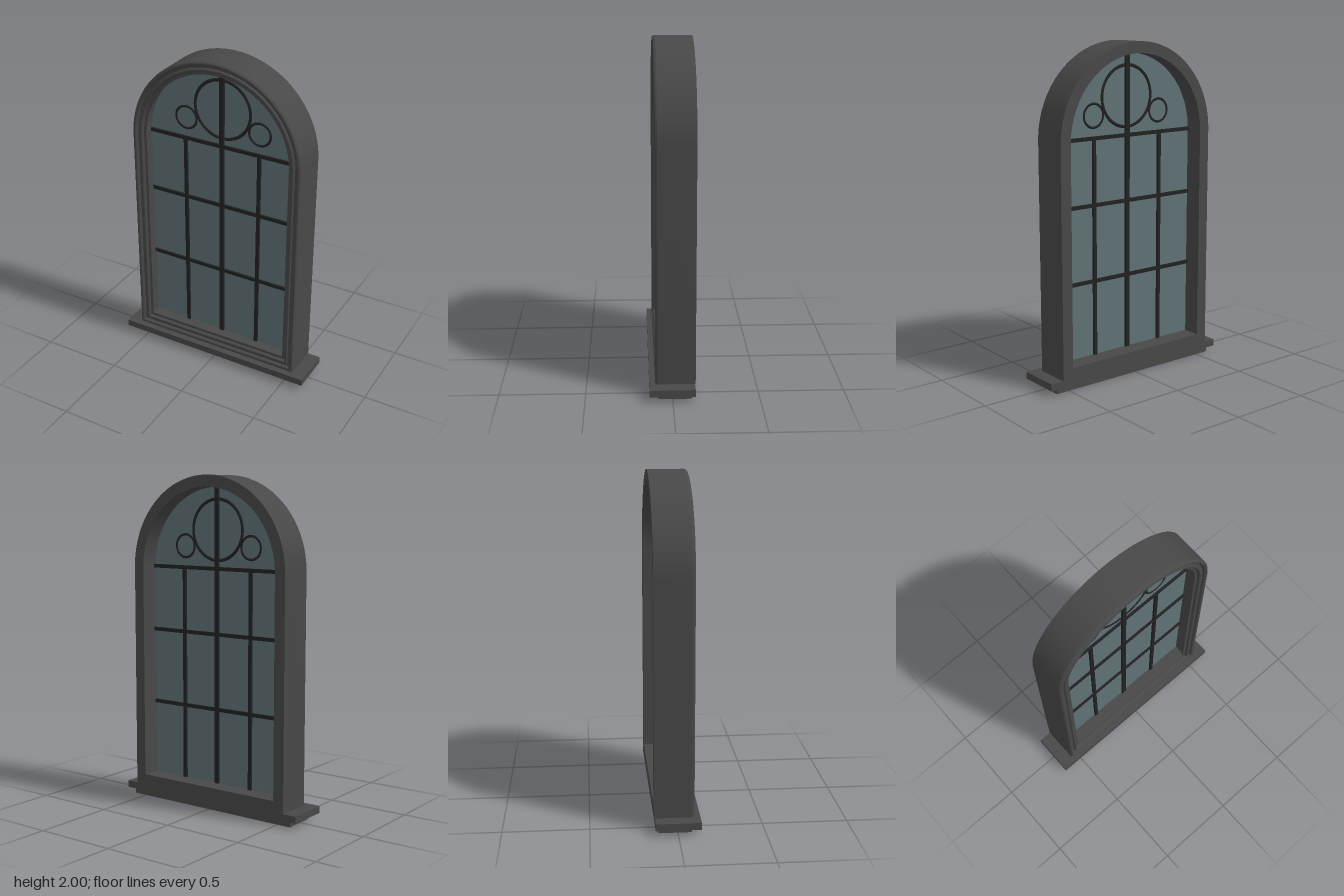
import * as THREE from 'three';
import { toCreasedNormals } from 'three/addons/utils/BufferGeometryUtils.js';

const HALF = 0.553, BASE = 0.075, SPRING = 1.447; // outer arch outline
const GLASS_Z = -0.015;

// Arched outline, inset by d, counterclockwise from the lower left corner
function archOutline(d, segments = 64) {
  const r = HALF - d;
  const points = [new THREE.Vector2(-r, BASE + d), new THREE.Vector2(r, BASE + d)];
  for (let i = 0; i <= segments; i++) {
    const a = Math.PI * i / segments;
    points.push(new THREE.Vector2(r * Math.cos(a), SPRING + r * Math.sin(a)));
  }
  return points;
}

// Sweep a closed profile of [inset, z] points round the arch, mitred at the corners
function sweepArch(profile) {
  const rings = profile.map(([d]) => archOutline(d));
  const count = rings[0].length, rows = profile.length;
  const positions = [], index = [];
  for (let i = 0; i < count; i++) {
    for (let j = 0; j < rows; j++) {
      positions.push(rings[j][i].x, rings[j][i].y, profile[j][1]);
      const i2 = (i + 1) % count, j2 = (j + 1) % rows;
      const a = i * rows + j, b = i2 * rows + j, c = i2 * rows + j2, e = i * rows + j2;
      index.push(a, b, c, a, c, e);
    }
  }
  const geometry = new THREE.BufferGeometry();
  geometry.setAttribute('position', new THREE.Float32BufferAttribute(positions, 3));
  geometry.setIndex(index);
  return toCreasedNormals(geometry, 0.7);
}

export function createModel() {
  const group = new THREE.Group();
  const frameMat = new THREE.MeshStandardMaterial({ color: 0x484848 });
  frameMat.name = 'frame grey';
  const barMat = new THREE.MeshStandardMaterial({ color: 0x222222 });
  barMat.name = 'bar black';
  const glassMat = new THREE.MeshStandardMaterial({ color: 0x5f7276 });
  glassMat.name = 'glass teal';

  const add = (name, geometry, material, x = 0, y = 0, z = 0) => {
    const mesh = new THREE.Mesh(geometry, material);
    mesh.name = name;
    mesh.position.set(x, y, z);
    group.add(mesh);
  };

  // Deep arched frame
  add('frame', sweepArch([[0, -0.133], [0, 0.06], [0.068, 0.06], [0.068, -0.133]]), frameMat);

  // Front moulding: outer bead, cove, inner bead and lip
  const profile = [[0, 0.06], [0, 0.085]];
  const bead = (centre, radius, z, height) => {
    for (let i = 0; i <= 8; i++) {
      const a = Math.PI * (1 - i / 8);
      profile.push([centre + radius * Math.cos(a), z + height * Math.sin(a)]);
    }
  };
  bead(0.0145, 0.0135, 0.086, 0.014);
  profile.push([0.031, 0.082], [0.041, 0.082]);
  bead(0.053, 0.011, 0.082, 0.011);
  profile.push([0.067, 0.076], [0.083, 0.074], [0.083, 0.06]);
  add('moulding', sweepArch(profile), frameMat);

  // Two-step sill
  add('sill', new THREE.BoxGeometry(1.27, 0.042, 0.262), frameMat, 0, 0.056, 0.002);
  add('sillBase', new THREE.BoxGeometry(1.17, 0.036, 0.19), frameMat, 0, 0.018, -0.015);

  // Arched pane
  const pane = new THREE.ExtrudeGeometry(new THREE.Shape(archOutline(0.066)), { depth: 0.01, bevelEnabled: false });
  add('glass', pane, glassMat, 0, 0, GLASS_Z - 0.005);

  // Glazing bars
  const low = 0.14, depth = 0.036;
  const vertical = (name, x, top, width) => add(name,
    new THREE.BoxGeometry(width, top - low, depth), barMat, x, (top + low) / 2, GLASS_Z);
  vertical('centreBar', 0, 1.935, 0.029);
  for (const side of [-1, 1]) vertical('sideBar', side * 0.245, 1.45, 0.022);
  for (const y of [0.6, 1.057, 1.45]) {
    add('crossBar', new THREE.BoxGeometry(0.974, 0.022, depth - 0.003), barMat, 0, y, GLASS_Z);
  }

  // Tracery rings in the arch
  const ring = (name, x, y, outer, tube) => add(name,
    new THREE.TorusGeometry(outer - tube, tube, 12, 48), barMat, x, y, GLASS_Z);
  ring('largeRing', 0, 1.68, 0.192, 0.011);
  for (const side of [-1, 1]) ring('smallRing', side * 0.242, 1.58, 0.078, 0.009);

  return group;
}
